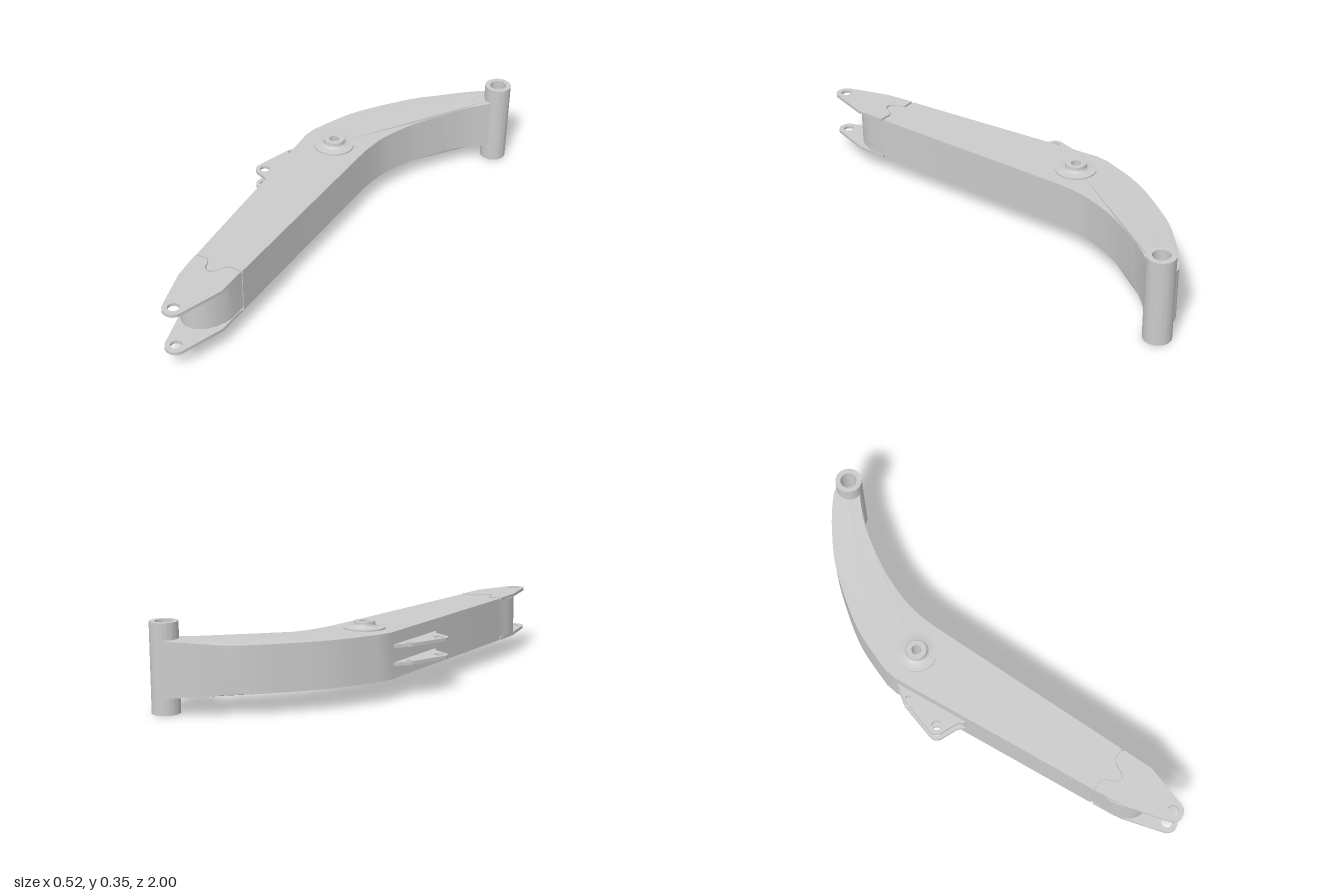
import * as THREE from 'three';
import { toCreasedNormals } from 'three/addons/utils/BufferGeometryUtils.js';

const MID = 0.178;            // mid height of the arm
const PIN = [0.2, -0.945];    // axis of the end barrel (x, z)
const material = new THREE.MeshStandardMaterial({ color: 0xcccccc });

const v = ([x, z]) => new THREE.Vector2(x, -z);
const spline = (pts, n) => new THREE.SplineCurve(pts.map(([x, z]) => new THREE.Vector2(x, z)))
  .getPoints(n).map(p => [p.x, p.y]);

// points on an arc in plan, angles in degrees, 0 = +x, 90 = +z
function arc(cx, cz, r, from, to, n) {
  return Array.from({ length: n + 1 }, (_, i) => {
    const a = THREE.MathUtils.degToRad(from + (to - from) * i / n);
    return [cx + r * Math.cos(a), cz + r * Math.sin(a)];
  });
}

// plan outline of (x, z) points raised from y0 to y1, holes are [x, z, radius]
function slab(outline, y0, y1, holes = []) {
  const shape = new THREE.Shape(outline.map(v));
  for (const [x, z, r] of holes) {
    shape.holes.push(new THREE.Path(arc(x, z, r, 0, 360, 32).slice(0, -1).map(v)));
  }
  const geo = new THREE.ExtrudeGeometry(shape, { depth: y1 - y0, bevelEnabled: false });
  return geo.rotateX(-Math.PI / 2).translate(0, y0, 0);
}

function lathe(profile, x, z) {
  const geo = new THREE.LatheGeometry(profile.map(([r, y]) => new THREE.Vector2(r, y)), 48);
  return geo.translate(x, 0, z);
}

function add(group, name, geo) {
  const mesh = new THREE.Mesh(toCreasedNormals(geo, 0.4), material);
  mesh.name = name;
  group.add(mesh);
}

export function createModel() {
  const group = new THREE.Group();
  group.name = 'boomArm';

  // wavy joint between the arm and the fork plates, right to left
  const seam = [[0.035, 0.69], [0.085, 0.676], [0.1, 0.69], [0.115, 0.717], [0.13, 0.727], [0.147, 0.724],
    [0.16, 0.705], [0.168, 0.672], [0.18, 0.656], [0.232, 0.645]];

  // curved hollow-looking main beam
  const outer = spline([[0.161, -0.984], [0.135, -0.972], [0.065, -0.905], [0, -0.828], [-0.07, -0.73],
    [-0.13, -0.61], [-0.18, -0.49], [-0.208, -0.39], [-0.23, -0.24]], 40);
  const inner = spline([[0.04, -0.25], [0.031, -0.33], [0.031, -0.41], [0.055, -0.555],
    [0.108, -0.71], [0.155, -0.81], [0.215, -0.9]], 36);
  const beam = slab([...outer, [-0.226, -0.185], ...seam, ...inner,
    ...arc(...PIN, 0.045, 80, 200, 8)], 0.085, 0.271, [[-0.088, -0.207, 0.05]]);
  // flare the beam's height towards the barrel
  const pos = beam.attributes.position;
  for (let i = 0; i < pos.count; i++) {
    const d = Math.hypot(pos.getX(i) - PIN[0], pos.getZ(i) - PIN[1]);
    const y = pos.getY(i);
    pos.setY(i, y + Math.sign(y - MID) * Math.max(0, 0.25 - d) * 0.08);
  }
  add(group, 'mainBeam', beam);

  // end barrel
  add(group, 'endBarrel', lathe([[0.034, 0], [0.055, 0], [0.055, 0.352], [0.034, 0.352], [0.034, 0]], ...PIN));

  // pivot boss with a flange and a filleted collar on both faces
  const half = [[0.083, 0.27], [0.083, 0.277], [0.06, 0.278], [0.05, 0.281],
    [0.044, 0.286], [0.041, 0.294], [0.041, 0.301], [0.02, 0.301]];
  const mirrored = half.map(([r, y]) => [r, 2 * MID - y]).reverse();
  add(group, 'pivotBoss', lathe([...mirrored, ...half, mirrored[0]], -0.088, -0.207));

  // rounded web closing the beam between the fork plates
  const nose = new THREE.CubicBezierCurve(new THREE.Vector2(0.047, 0.72), new THREE.Vector2(0.06, 0.912),
    new THREE.Vector2(0.24, 0.912), new THREE.Vector2(0.246, 0.72)).getPoints(24).map(p => [p.x, p.y]);
  add(group, 'noseWeb', slab([[0.013, 0.6], ...nose, [0.219, 0.6]], 0.097, 0.261));

  // fork plates, set a little forward of the seam to leave a groove
  const back = seam.map(([x, z]) => [x + 0.002, z + 0.009]).reverse();
  const fork = [...back, [0.077, 0.82], ...arc(0.2, 0.957, 0.043, 152, 5, 16), [0.261, 0.78]];
  // cylinder lug plates on the outer side of the beam
  const lug = [[-0.2, -0.17], [-0.224, -0.175], ...arc(-0.234, -0.1, 0.018, 215, 175, 4),
    ...arc(-0.227, 0.064, 0.037, 185, 95, 8), [-0.165, 0.112], [-0.15, 0.12], [-0.137, 0.135], [-0.1, 0.12]];
  for (const side of ['upper', 'lower']) {
    const span = (a, b) => side === 'upper' ? [a, b] : [2 * MID - b, 2 * MID - a];
    add(group, side + 'ForkPlate', slab(fork, ...span(0.26, 0.273), [[0.2, 0.957, 0.022]]));
    add(group, side + 'LugPlate', slab(lug, ...span(0.207, 0.221),
      [[-0.234, -0.1, 0.011], [-0.227, 0.064, 0.02]]));
  }
  return group;
}
